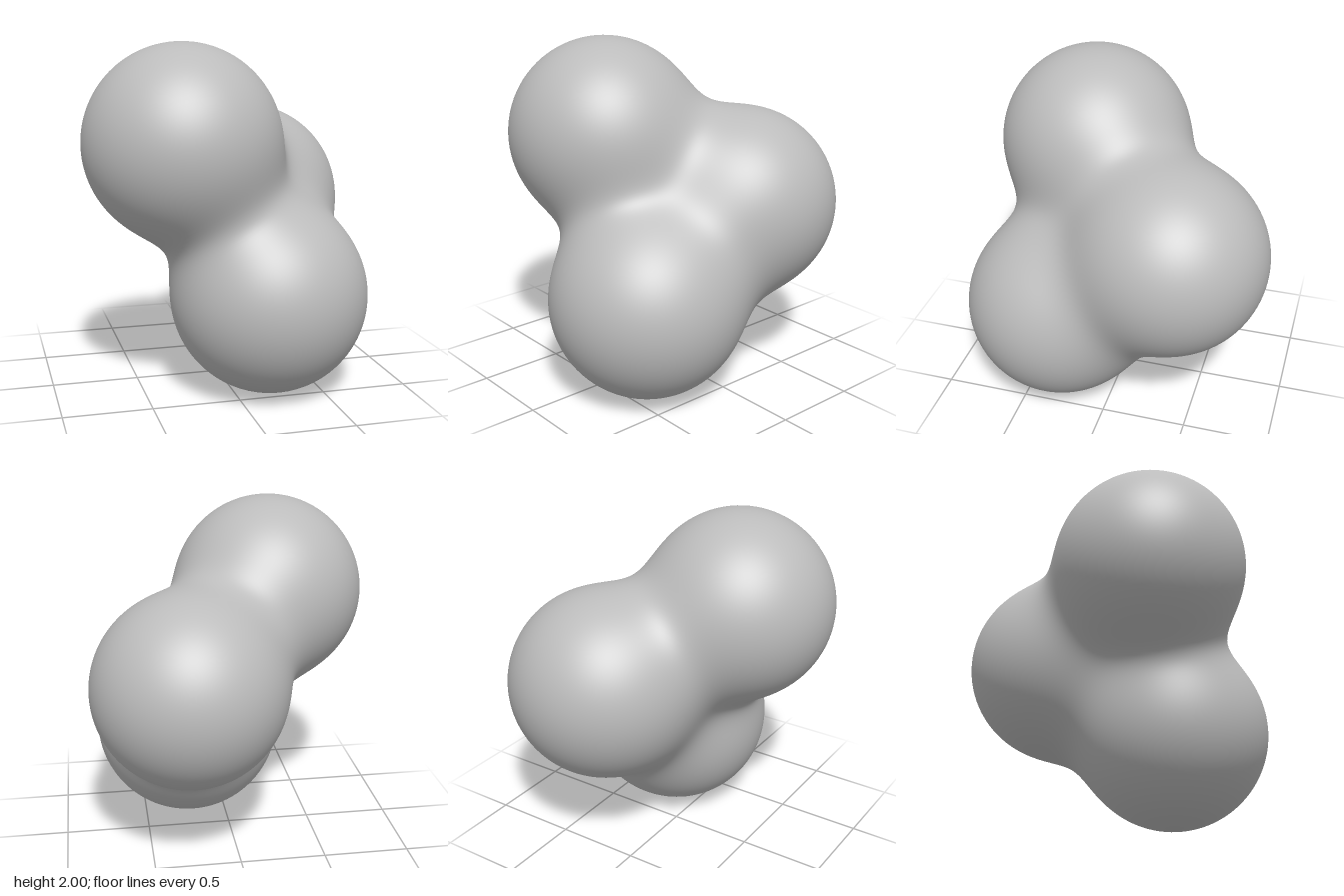
import * as THREE from 'three';
import { mergeVertices } from 'three/addons/utils/BufferGeometryUtils.js';

// Three soft balls that melt into one another
const balls = [
  { centre: new THREE.Vector3(-0.27, 1.44, 0.25), radius: 0.56 },
  { centre: new THREE.Vector3(0.215, 0.565, 0.335), radius: 0.565 },
  { centre: new THREE.Vector3(0.27, 1.035, -0.34), radius: 0.56 },
];
const STIFFNESS = 2.43; // higher values give narrower necks

// Field strength: 1 on the blended surface, greater inside
function field(p) {
  return balls.reduce((sum, b) =>
    sum + Math.exp(-STIFFNESS * (p.distanceToSquared(b.centre) / b.radius ** 2 - 1)), 0);
}

// Push a fine sphere outward from the common middle until it meets the surface
function blendedGeometry() {
  const middle = new THREE.Vector3();
  balls.forEach((b) => middle.addScaledVector(b.centre, 1 / balls.length));

  let geometry = new THREE.IcosahedronGeometry(1, 32);
  geometry.deleteAttribute('uv');
  geometry.deleteAttribute('normal');
  geometry = mergeVertices(geometry, 1e-5);

  const position = geometry.attributes.position;
  const direction = new THREE.Vector3();
  const point = new THREE.Vector3();
  for (let i = 0; i < position.count; i++) {
    direction.fromBufferAttribute(position, i).normalize();
    let near = 0, far = 2;
    for (let step = 0; step < 24; step++) {
      const t = (near + far) / 2;
      point.copy(middle).addScaledVector(direction, t);
      if (field(point) > 1) near = t;
      else far = t;
    }
    position.setXYZ(i, point.x, point.y, point.z);
  }
  geometry.computeVertexNormals();
  return geometry;
}

export function createModel() {
  const grey = new THREE.MeshStandardMaterial({ color: 0xbcbcbc });
  grey.name = 'grey';

  const model = new THREE.Group();
  model.name = 'blendedBalls';

  const body = new THREE.Mesh(blendedGeometry(), grey);
  body.name = 'threeLobedBody';
  model.add(body);
  return model;
}
